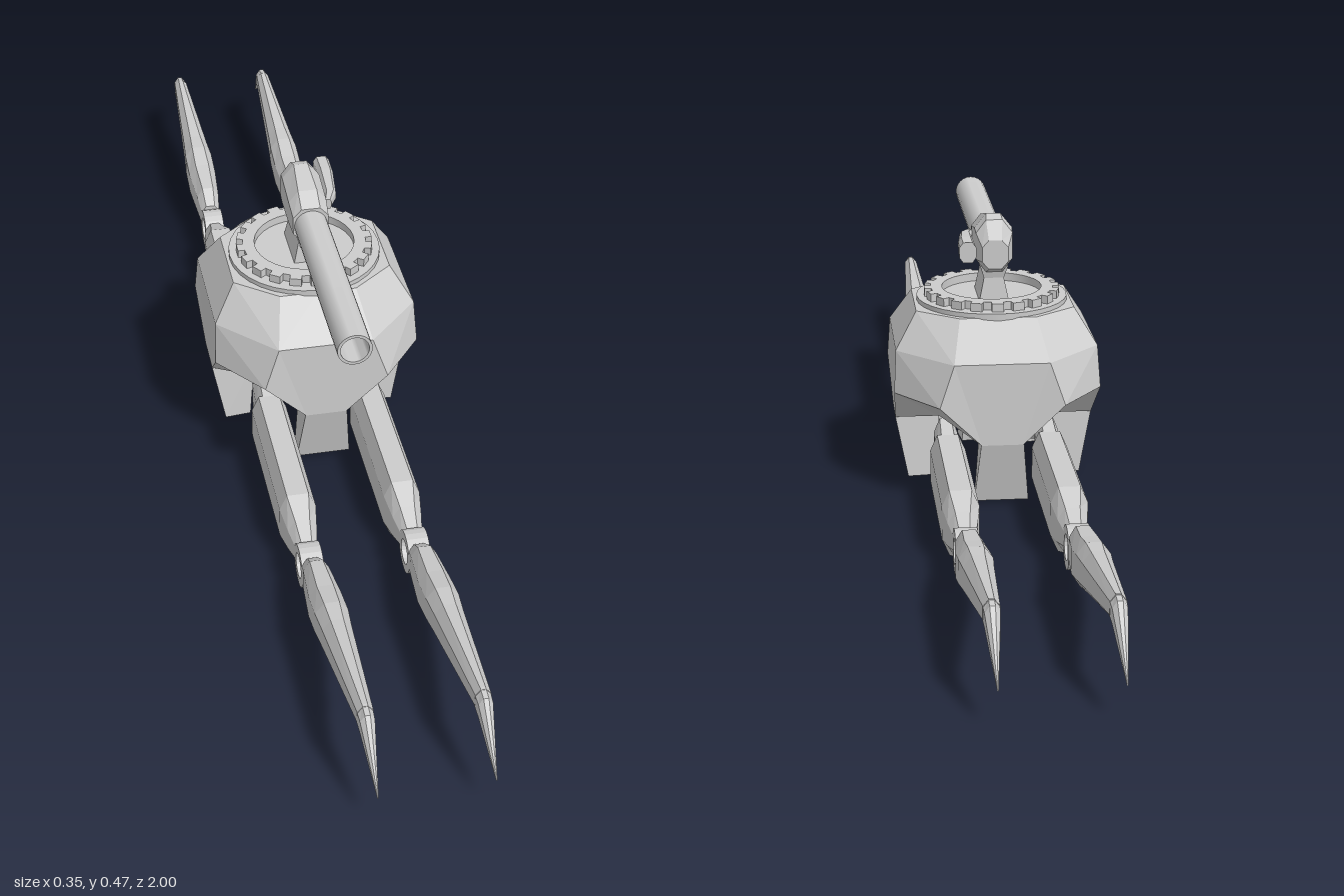
import * as THREE from 'three';
import { toCreasedNormals } from 'three/addons/utils/BufferGeometryUtils.js';

const flat = new THREE.MeshStandardMaterial({ color: 0xcccccc, flatShading: true });
const shell = new THREE.MeshStandardMaterial({ color: 0xcccccc, flatShading: true, side: THREE.DoubleSide });
const smooth = new THREE.MeshStandardMaterial({ color: 0xcccccc });

function mesh(name, geometry, material = flat) {
  const m = new THREE.Mesh(geometry, material);
  m.name = name;
  return m;
}

function fromTriangles(points) {
  const g = new THREE.BufferGeometry();
  g.setAttribute('position', new THREE.Float32BufferAttribute(points.flat(), 3));
  g.computeVertexNormals();
  return g;
}

// Skin a list of equal-length rings and cap both ends
function loft(rings) {
  const tri = [], n = rings[0].length, last = rings[rings.length - 1];
  for (let k = 0; k < rings.length - 1; k++) {
    const a = rings[k], b = rings[k + 1];
    for (let i = 0; i < n; i++) {
      const j = (i + 1) % n;
      tri.push(a[i], a[j], b[j], a[i], b[j], b[i]);
    }
  }
  for (let i = 1; i < n - 1; i++) {
    tri.push(rings[0][0], rings[0][i + 1], rings[0][i]);
    tri.push(last[0], last[i], last[i + 1]);
  }
  return fromTriangles(tri);
}

// Chamfered section across z: bottom, top, half width, half width of the flats
function section([z, yb, yt, w, f = w * 0.5, x = 0]) {
  const c = (yt - yb) * 0.25;
  return [[x - f, yb, z], [x + f, yb, z], [x + w, yb + c, z], [x + w, yt - c, z],
    [x + f, yt, z], [x - f, yt, z], [x - w, yt - c, z], [x - w, yb + c, z]];
}
const loftZ = rows => loft(rows.map(section));

// Faceted hull: one quadrant mirrored four ways, arched over the legs
function hullGeometry() {
  const v = {
    top: [0, 0.315, 0], tf: [0, 0.315, 0.125], t0: [0.065, 0.315, 0.125], t1: [0.135, 0.315, 0.07], ts: [0.135, 0.315, 0],
    mf: [0, 0.255, 0.195], m0: [0.08, 0.255, 0.195], m1: [0.172, 0.255, 0.1], ms: [0.172, 0.255, 0],
    df: [0.105, 0.183, 0.203], ds: [0.176, 0.185, 0.115],
    pf: [0, 0.115, 0.2], p: [0.035, 0.115, 0.2], q: [0.171, 0.115, 0.037], qs: [0.171, 0.115, 0],
    i: [0.1, 0.14, 0.11], c: [0, 0.17, 0],
  };
  const faces = ['top tf t0', 'top t0 t1', 'top t1 ts', 'mf m0 t0 tf', 'm1 t1 t0 m0', 'm1 ms ts t1',
    'pf p m0 mf', 'p df m0', 'df ds m1', 'df m1 m0', 'ds q m1', 'q qs ms m1',
    'df i ds', 'i q ds', 'p i df', 'pf c i p', 'c qs q i'];
  const tri = [];
  for (const sx of [1, -1]) for (const sz of [1, -1]) for (const face of faces) {
    const pts = face.split(' ').map(k => [v[k][0] * sx, v[k][1], v[k][2] * sz]);
    if (sx * sz < 0) pts.reverse();
    for (let k = 1; k < pts.length - 1; k++) tri.push(pts[0], pts[k], pts[k + 1]);
  }
  return fromTriangles(tri);
}

// Tapered foot under a hull panel, facing +z
function footGeometry(outTop, outBottom, inner) {
  const ring = (y, w, zo, zi) => [[-w, y, zo], [w, y, zo], [w * 0.9, y, zi], [-w * 0.9, y, zi]];
  return loft([ring(0.008, 0.046, outBottom, inner), ring(0.115, 0.036, outTop, inner - 0.01)]);
}

function createLeg() {
  const leg = new THREE.Group();
  leg.name = 'leg';
  leg.add(mesh('hip', loftZ([[0.05, 0.05, 0.1, 0.012], [0.08, 0.025, 0.125, 0.02], [0.14, 0.02, 0.11, 0.022]])));
  leg.add(mesh('upperLeg', loftZ([[0.13, 0.002, 0.112, 0.03, 0.018], [0.395, 0.002, 0.112, 0.03, 0.018],
    [0.435, 0.015, 0.092, 0.024, 0.012], [0.472, 0.03, 0.075, 0.017]])));
  // Knuckle with an open pin hole
  const shape = new THREE.Shape().absarc(0, 0, 0.036, 0, Math.PI * 2);
  shape.holes.push(new THREE.Path().absarc(0, 0, 0.021, 0, Math.PI * 2, true));
  const ring = new THREE.ExtrudeGeometry(shape, { depth: 0.036, bevelEnabled: false, curveSegments: 10 });
  ring.translate(0, 0, -0.018).rotateY(Math.PI / 2);
  const knuckle = mesh('knuckle', ring);
  knuckle.position.set(0, 0.05, 0.495);
  leg.add(knuckle);
  leg.add(mesh('lowerLeg', loftZ([[0.519, 0.03, 0.085, 0.017], [0.55, 0.034, 0.107, 0.021], [0.62, 0.038, 0.118, 0.026, 0.013],
    [0.67, 0.052, 0.129, 0.026, 0.012], [0.71, 0.062, 0.131, 0.023, 0.01], [0.91, 0.11, 0.15, 0.012, 0.004]])));
  leg.add(mesh('claw', loftZ([[0.905, 0.107, 0.15, 0.012, 0.004], [0.925, 0.103, 0.147, 0.011, 0.004], [1.0, 0.057, 0.06, 0.001]])));
  return leg;
}

function createTurret() {
  const turret = new THREE.Group();
  turret.name = 'turret';
  // Toothed turning ring
  const plate = mesh('ringPlate', toCreasedNormals(new THREE.CylinderGeometry(0.13, 0.13, 0.012, 32), 0.5), smooth);
  plate.position.y = 0.317;
  turret.add(plate);
  const profile = [[0.086, 0.32], [0.106, 0.32], [0.106, 0.337], [0.086, 0.337], [0.086, 0.32]].map(p => new THREE.Vector2(...p));
  turret.add(mesh('ringWall', toCreasedNormals(new THREE.LatheGeometry(profile, 32), 0.5), smooth));
  const teeth = new THREE.Group();
  teeth.name = 'ringTeeth';
  for (let k = 0; k < 20; k++) {
    const a = k * Math.PI / 10;
    const tooth = mesh('tooth', new THREE.BoxGeometry(0.02, 0.016, 0.015));
    tooth.position.set(Math.sin(a) * 0.109, 0.329, Math.cos(a) * 0.109);
    tooth.rotation.y = a;
    teeth.add(tooth);
  }
  turret.add(teeth);
  // Neck flaring forwards into a cradle
  const ring = (y, w, zf, zb) => [[-w, y, zf], [w, y, zf], [w, y, zb], [-w, y, zb]];
  turret.add(mesh('neck', loft([ring(0.32, 0.026, 0.045, -0.05), ring(0.363, 0.017, 0.04, -0.045), ring(0.385, 0.024, 0.09, -0.05)])));
  turret.add(mesh('head', loftZ([[-0.07, 0.385, 0.435, 0.022], [-0.05, 0.375, 0.466, 0.031, 0.014], [-0.03, 0.373, 0.473, 0.032, 0.012],
    [0.03, 0.375, 0.458, 0.032, 0.016], [0.06, 0.378, 0.44, 0.03, 0.016]])));
  // Hollow barrel
  const bore = [[0, 0], [0.028, 0], [0.028, 0.45], [0.023, 0.45], [0.023, 0.3], [0, 0.3]].map(p => new THREE.Vector2(...p));
  const barrel = mesh('barrel', toCreasedNormals(new THREE.LatheGeometry(bore, 24).rotateX(Math.PI / 2), 0.6), smooth);
  barrel.position.set(0, 0.408, -0.035);
  turret.add(barrel);
  // Sight on the left side
  turret.add(mesh('sight', loftZ([[-0.1, 0.405, 0.44, 0.014, 0.008, 0.049], [-0.06, 0.406, 0.44, 0.013, 0.008, 0.049],
    [0.0, 0.41, 0.435, 0.01, 0.006, 0.045], [0.025, 0.413, 0.432, 0.006, 0.004, 0.036]])));
  return turret;
}

export function createModel() {
  const model = new THREE.Group();
  model.name = 'walker';
  model.add(mesh('hull', hullGeometry(), shell));
  for (let k = 0; k < 4; k++) {
    const foot = mesh('foot', k % 2 ? footGeometry(0.171, 0.15, 0.105) : footGeometry(0.2, 0.175, 0.13));
    foot.rotation.y = k * Math.PI / 2;
    model.add(foot);
  }
  for (const x of [-0.087, 0.087]) for (const turn of [0, Math.PI]) {
    const leg = createLeg();
    leg.position.x = x;
    leg.rotation.y = turn;
    model.add(leg);
  }
  model.add(createTurret());
  return model;
}
